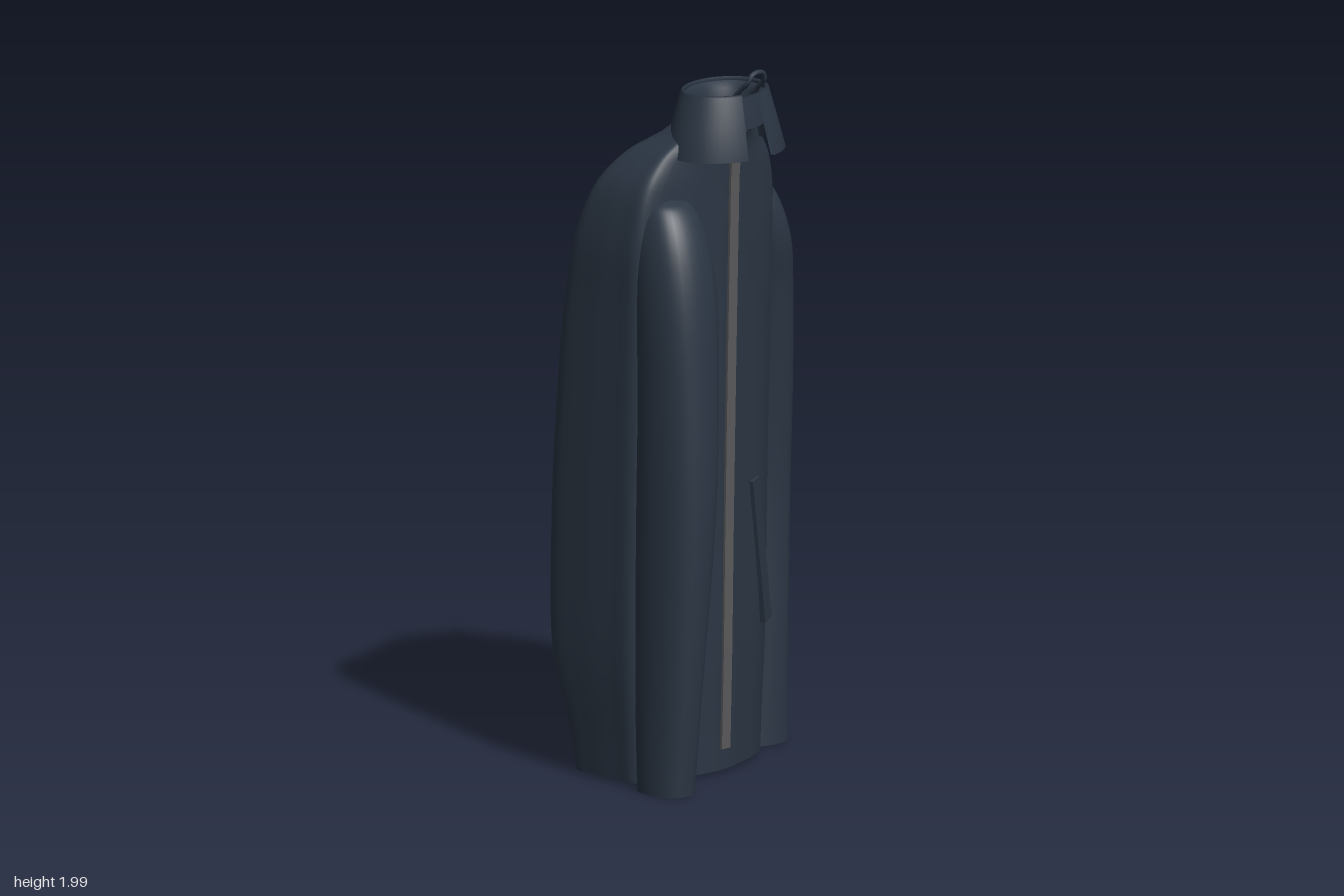
import * as THREE from 'three';

const V = (x, y, z) => new THREE.Vector3(x, y, z);
const make = (name, color) => {
  const m = new THREE.MeshStandardMaterial({ color, side: THREE.DoubleSide });
  m.name = name;
  return m;
};

// Smooth skin through closed rings ordered from bottom to top.
function loft(rings, around, up, capBottom, capTop) {
  const smooth = rings.map((r) => {
    const c = new THREE.CatmullRomCurve3(r, true, 'catmullrom', 0.5);
    return Array.from({ length: around }, (_, j) => c.getPoint(j / around));
  });
  const columns = Array.from({ length: around }, (_, j) =>
    new THREE.CatmullRomCurve3(smooth.map((r) => r[j]), false, 'centripetal').getPoints(up));
  const pos = [], idx = [];
  for (let i = 0; i <= up; i++) columns.forEach((c) => pos.push(c[i].x, c[i].y, c[i].z));
  for (let i = 0; i < up; i++) {
    for (let j = 0; j < around; j++) {
      const k = (j + 1) % around, a = i * around, b = a + around;
      idx.push(a + j, a + k, b + j, a + k, b + k, b + j);
    }
  }
  const cap = (row, flip) => {
    const mid = V(0, 0, 0), base = pos.length / 3;
    columns.forEach((c) => mid.addScaledVector(c[row], 1 / around));
    columns.forEach((c) => pos.push(c[row].x, c[row].y, c[row].z));
    pos.push(mid.x, mid.y, mid.z);
    for (let j = 0; j < around; j++) {
      const k = (j + 1) % around;
      idx.push(base + around, base + (flip ? k : j), base + (flip ? j : k));
    }
  };
  if (capBottom) cap(0, true);
  if (capTop) cap(up, false);
  const g = new THREE.BufferGeometry();
  g.setAttribute('position', new THREE.Float32BufferAttribute(pos, 3));
  g.setIndex(idx);
  g.computeVertexNormals();
  return g;
}

// Body outline seen from above, starting at the front closure.
const outline = [
  [-0.055, 0.17], [0.05, 0.143], [0.13, 0.115], [0.2, 0.06], [0.225, -0.02],
  [0.21, -0.12], [0.195, -0.2], [0.185, -0.27], [0.12, -0.295], [0.03, -0.28],
  [-0.06, -0.322], [-0.15, -0.295], [-0.25, -0.245], [-0.355, -0.205], [-0.37, -0.1],
  [-0.368, 0.03], [-0.355, 0.12], [-0.25, 0.15], [-0.15, 0.165],
];

// height, width scale, back depth scale, front shift, blend to neck
const levels = [
  [0.02, 0.92, 0.72, -0.018, 0], [0.12, 0.94, 0.77, -0.016, 0],
  [0.34, 0.99, 0.97, -0.01, 0], [0.7, 1, 1, -0.004, 0], [1.0, 1, 0.965, 0.002, 0],
  [1.35, 1, 0.87, 0.01, 0], [1.55, 0.99, 0.74, 0.015, 0], [1.68, 0.9, 0.58, 0.018, 0],
  [1.76, 0.75, 0.45, 0.02, 0.1], [1.82, 0.58, 0.3, 0.024, 0.5], [1.87, 0.4, 0.2, 0.03, 1],
];

function bodyRings() {
  return levels.map(([y, kx, kb, shift, neck]) => outline.map(([x, z]) => {
    const a = Math.atan2(x + 0.06, z - 0.02);
    const p = V(-0.06 + (x + 0.06) * kx, y, z < 0.1 ? 0.1 + (z - 0.1) * kb : z);
    p.z += shift;
    return p.lerp(V(-0.06 + 0.115 * Math.sin(a), y, 0.15 + 0.09 * Math.cos(a)), neck);
  }));
}

// Sleeve rows: height, x min, x max, z min, z max
const sleeves = {
  leftSleeve: [
    [0.01, 0.18, 0.355, -0.165, 0.03], [0.3, 0.2, 0.355, -0.19, 0.03],
    [0.7, 0.2, 0.372, -0.215, 0.025], [1.0, 0.19, 0.363, -0.205, 0.045],
    [1.3, 0.16, 0.33, -0.17, 0.08], [1.45, 0.14, 0.29, -0.14, 0.105],
    [1.57, 0.13, 0.235, -0.1, 0.095], [1.64, 0.14, 0.19, -0.03, 0.05],
  ],
  rightSleeve: [
    [0.01, -0.37, -0.245, 0.1, 0.27], [0.3, -0.372, -0.235, 0.09, 0.295],
    [0.8, -0.372, -0.2, 0.08, 0.322], [1.1, -0.37, -0.18, 0.08, 0.315],
    [1.4, -0.367, -0.165, 0.07, 0.29], [1.55, -0.35, -0.17, 0.06, 0.25],
    [1.63, -0.32, -0.19, 0.07, 0.2], [1.65, -0.29, -0.22, 0.1, 0.16],
  ],
};

function sleeveGeometry(rows) {
  const soft = (v) => Math.sign(v) * Math.pow(Math.abs(v), 0.85);
  const rings = rows.map(([y, x0, x1, z0, z1]) => Array.from({ length: 16 }, (_, i) => {
    const t = (i / 16) * Math.PI * 2;
    return V((x0 + x1) / 2 + soft(Math.sin(t)) * (x1 - x0) / 2, y,
      (z0 + z1) / 2 + soft(Math.cos(t)) * (z1 - z0) / 2);
  }));
  return loft(rings, 32, 40, true, true);
}

export function createModel() {
  const model = new THREE.Group();
  const cloth = make('navy cloth', 0x2b3644);
  const lining = make('dark lining', 0x1e222c);
  const metal = make('grey zip', 0x5a5a5c);
  const add = (name, geometry, material, parent = model) => {
    const mesh = new THREE.Mesh(geometry, material);
    mesh.name = name;
    parent.add(mesh);
    return mesh;
  };

  // Body and its closed hem
  const rings = bodyRings();
  add('body', loft(rings, 76, 60, false, false), cloth);
  const hem = rings[0].map((p) => p.clone().setY(0.022));
  const hemTop = rings[0].map((p) => p.clone().setY(0.026));
  add('hemLining', loft([hem, hemTop], 76, 1, true, false), lining);

  // Sleeves
  for (const [name, rows] of Object.entries(sleeves)) add(name, sleeveGeometry(rows), cloth);

  // Zip following the front of the body
  const frontZ = (y) => {
    let i = 0;
    while (i < rings.length - 2 && rings[i + 1][0].y < y) i++;
    const a = rings[i][0], b = rings[i + 1][0];
    return a.z + (b.z - a.z) * (y - a.y) / (b.y - a.y);
  };
  const zip = new THREE.BoxGeometry(0.032, 1.75, 0.016, 1, 48, 1);
  zip.translate(-0.055, 0.955, 0);
  const zp = zip.attributes.position;
  for (let i = 0; i < zp.count; i++) zp.setZ(i, zp.getZ(i) + frontZ(zp.getY(i)));
  zip.computeVertexNormals();
  add('zip', zip, metal);

  // Slanted pocket welts
  for (const [name, x, z, side] of [['leftPocket', 0.11, 0.117, 1], ['rightPocket', -0.22, 0.15, -1]]) {
    const pocket = new THREE.Group();
    pocket.name = name;
    pocket.position.set(x, 0.6, z);
    pocket.rotation.y = side > 0 ? 0.36 : -0.15;
    add(name + 'Welt', new THREE.BoxGeometry(0.042, 0.42, 0.024), cloth, pocket).rotation.z = 0.19 * side;
    model.add(pocket);
  }

  // Turned-down collar with a front gap, around a standing neckband
  const turned = (name, profile, gap, z) => {
    const points = profile.map(([r, y]) => new THREE.Vector2(r, y));
    const g = new THREE.LatheGeometry(points, 48, gap, Math.PI * 2 - 2 * gap);
    const mesh = add(name, g, cloth);
    mesh.scale.z = 0.82;
    mesh.position.set(-0.06, 0, z);
  };
  turned('collar', [[0.168, 1.757], [0.18, 1.757], [0.155, 1.845], [0.13, 1.928],
    [0.122, 1.932], [0.118, 1.922], [0.168, 1.757]], 0.27, 0.16);
  turned('neckband', [[0.125, 1.83], [0.117, 1.918], [0.112, 1.922], [0.09, 1.905],
    [0.086, 1.84]], 0, 0.155);

  // Hanging loop
  const half = [[0.036, 1.905, 0.215], [0.034, 1.945, 0.255], [0.031, 1.968, 0.278], [0.02, 1.988, 0.283]];
  const path = [
    ...half.map(([x, y, z]) => V(-0.056 - x, y, z)),
    V(-0.056, 1.993, 0.284),
    ...half.reverse().map(([x, y, z]) => V(-0.056 + x, y, z)),
  ];
  add('hangingLoop', new THREE.TubeGeometry(new THREE.CatmullRomCurve3(path), 48, 0.007, 8), cloth);

  return model;
}
